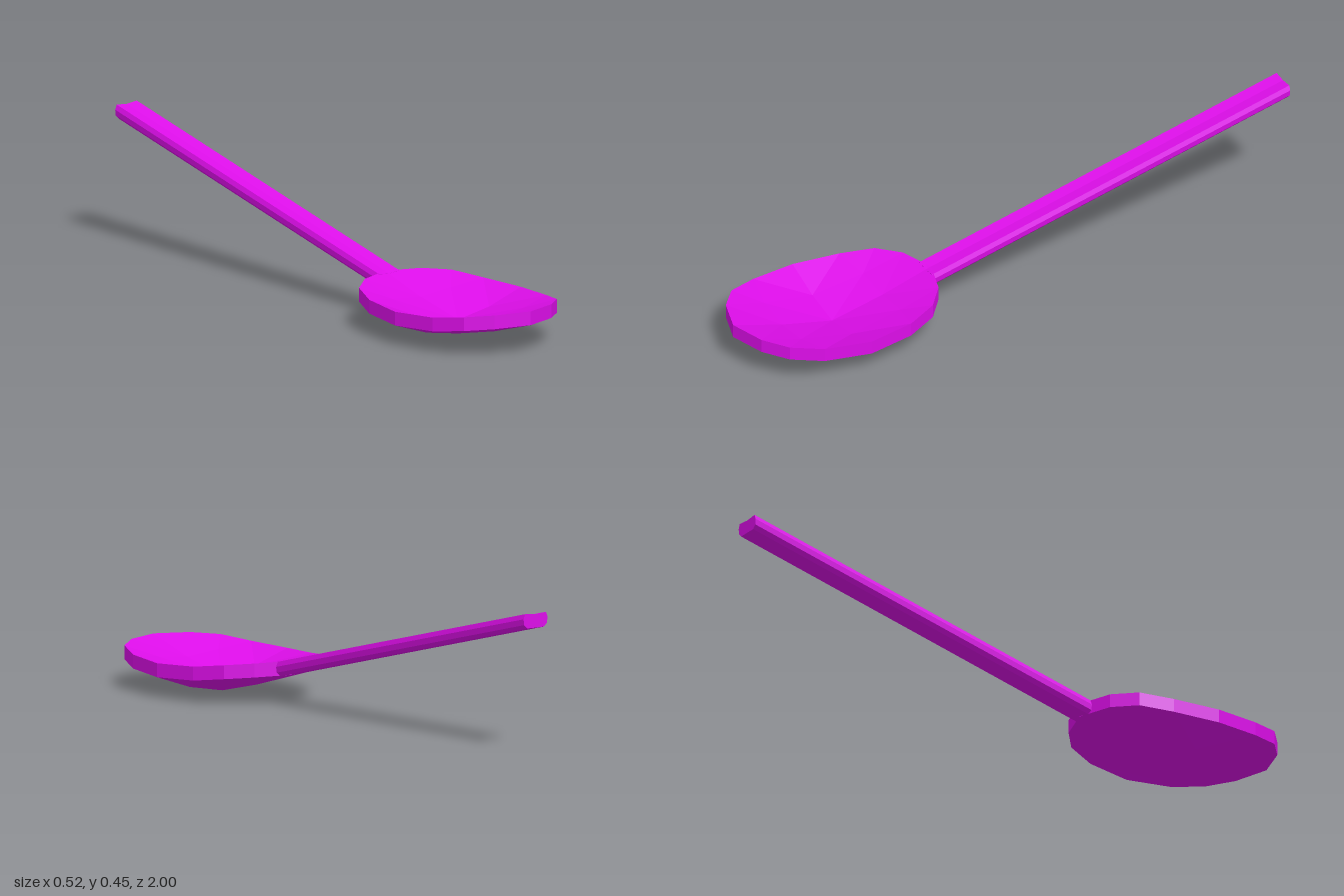
import * as THREE from 'three';

const THICK = 0.045;
const BOWL_Z = 0.64;

// One quarter of the bowl's underside as [x, z from centre, y], mirrored to a 5 x 5 grid
const QUARTER = [
  [[0, 0, 0], [0, 0.182, 0.041], [0, 0.36, 0.094]],
  [[0.13, 0, 0.023], [0.122, 0.18, 0.054], [0.118, 0.322, 0.092]],
  [[0.262, 0, 0.067], [0.237, 0.157, 0.073], [0.193, 0.26, 0.086]],
];

function bowlPoint(i, j, lift) {
  const [x, z, y] = QUARTER[Math.abs(i)][Math.abs(j)];
  return [Math.sign(i) * x, y + lift, BOWL_Z + Math.sign(j) * z];
}

function bowlGeometry() {
  const pos = [];
  const quad = (a, b, c, d) => pos.push(...a, ...b, ...c, ...a, ...c, ...d);
  for (let i = -2; i < 2; i++) {
    for (let j = -2; j < 2; j++) {
      const loop = [[i, j], [i, j + 1], [i + 1, j + 1], [i + 1, j]];
      // Mirror the diagonals so they all run out from the centre
      if ((i < 0) !== (j < 0)) loop.push(loop.shift());
      const top = loop.map(([u, v]) => bowlPoint(u, v, THICK));
      const under = loop.map(([u, v]) => bowlPoint(u, v, 0));
      quad(...top);
      quad(under[0], under[3], under[2], under[1]);
    }
  }
  // Rim wall, walked around the edge of the grid
  const edge = [];
  for (let k = -2; k < 2; k++) edge.push([k, 2]);
  for (let k = 2; k > -2; k--) edge.push([2, k]);
  for (let k = 2; k > -2; k--) edge.push([k, -2]);
  for (let k = -2; k < 2; k++) edge.push([-2, k]);
  edge.forEach((p, n) => {
    const q = edge[(n + 1) % edge.length];
    quad(bowlPoint(...p, 0), bowlPoint(...q, 0), bowlPoint(...q, THICK), bowlPoint(...p, THICK));
  });
  const geo = new THREE.BufferGeometry();
  geo.setAttribute('position', new THREE.Float32BufferAttribute(pos, 3));
  geo.computeVertexNormals();
  return geo;
}

// Grooved bar with chamfered edges, sheared so it rises towards the back with upright ends
function handleGeometry() {
  const half = [[0.034, 0.405], [0.046, 0.417], [0.048, 0.436], [0.042, 0.452]];
  const outline = [
    ...half,
    [0, 0.448],
    ...half.map(([x, y]) => [-x, y]).reverse(),
  ].map(([x, y]) => new THREE.Vector2(x, y));
  const geo = new THREE.ExtrudeGeometry(new THREE.Shape(outline), { depth: 1.3, bevelEnabled: false });
  geo.translate(0, 0, -1);
  const p = geo.attributes.position;
  for (let n = 0; n < p.count; n++) p.setY(n, p.getY(n) - 0.242 * (p.getZ(n) + 1));
  geo.computeVertexNormals();
  return geo;
}

export function createModel() {
  const group = new THREE.Group();
  group.name = 'spoon';
  const material = new THREE.MeshStandardMaterial({ color: 0xdd0ee9, flatShading: true });
  const add = (name, geometry) => {
    const mesh = new THREE.Mesh(geometry, material);
    mesh.name = name;
    group.add(mesh);
  };
  add('bowl', bowlGeometry());
  add('handle', handleGeometry());
  return group;
}
